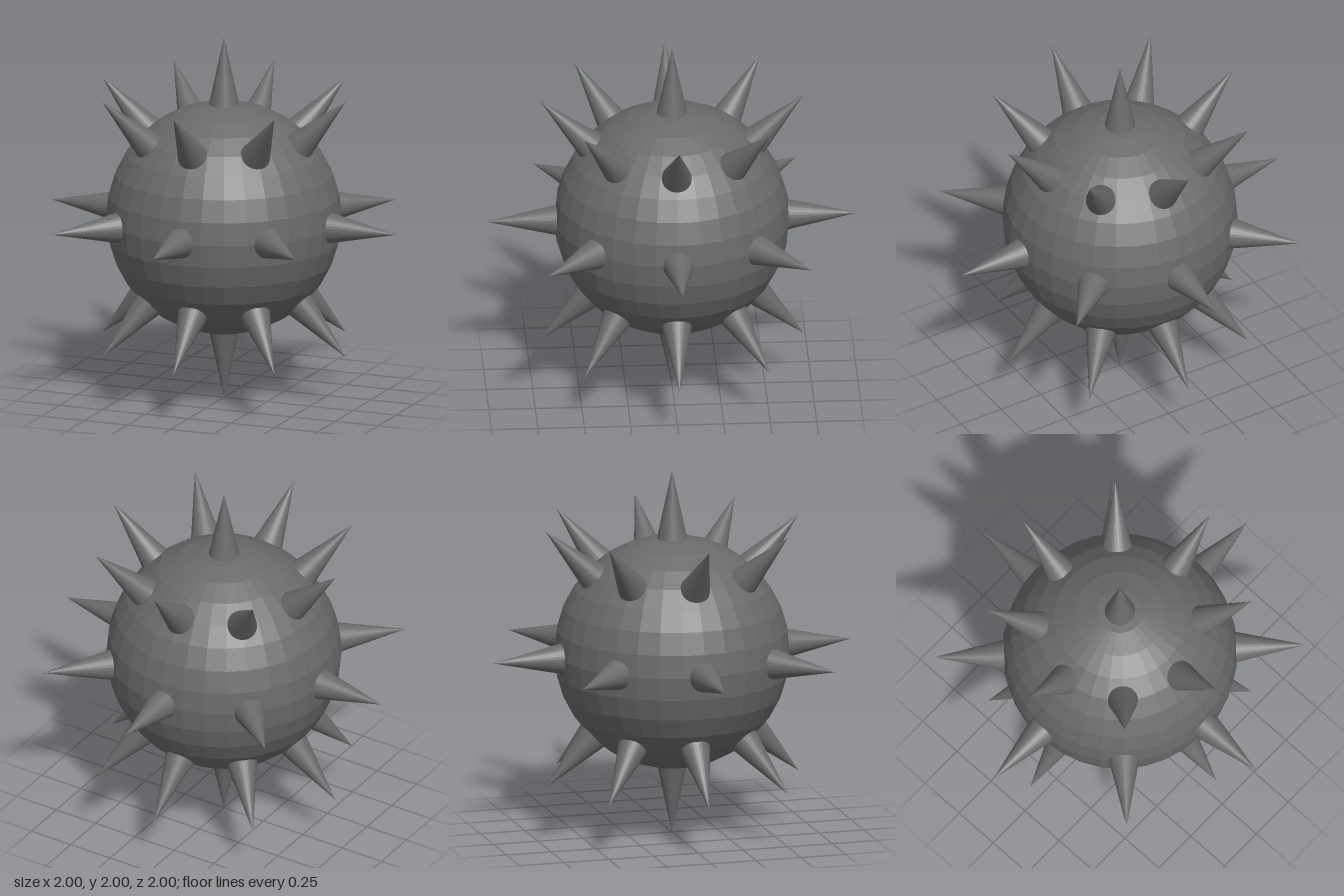
import * as THREE from 'three';

export function createModel() {
  const model = new THREE.Group();
  model.name = 'spikedBall';
  const grey = new THREE.MeshStandardMaterial({ color: 0x6a6a6a, flatShading: true });
  grey.name = 'dark grey';

  // Faceted ball
  const ball = new THREE.Mesh(new THREE.SphereGeometry(0.633, 32, 16), grey);
  ball.name = 'ball';
  ball.position.y = 1;
  model.add(ball);

  // Spikes: the cone base is sunk into the ball, the tip is 1 unit from the centre
  const base = 0.58;
  const spikeGeometry = new THREE.ConeGeometry(0.091, 1 - base, 32);
  spikeGeometry.translate(0, (1 + base) / 2, 0);
  const up = new THREE.Vector3(0, 1, 0);
  const addSpike = (elevation, azimuth) => {
    const direction = new THREE.Vector3(
      Math.cos(elevation) * Math.sin(azimuth),
      Math.sin(elevation),
      Math.cos(elevation) * Math.cos(azimuth)
    );
    const spike = new THREE.Mesh(spikeGeometry, grey);
    spike.name = 'spike';
    spike.position.y = 1;
    spike.quaternion.setFromUnitVectors(up, direction);
    model.add(spike);
  };

  // Three rings of eight, plus one at each pole
  for (const elevation of [-Math.PI / 4, 0, Math.PI / 4]) {
    for (let i = 0; i < 8; i++) addSpike(elevation, (i * Math.PI) / 4);
  }
  addSpike(Math.PI / 2, 0);
  addSpike(-Math.PI / 2, 0);

  return model;
}
